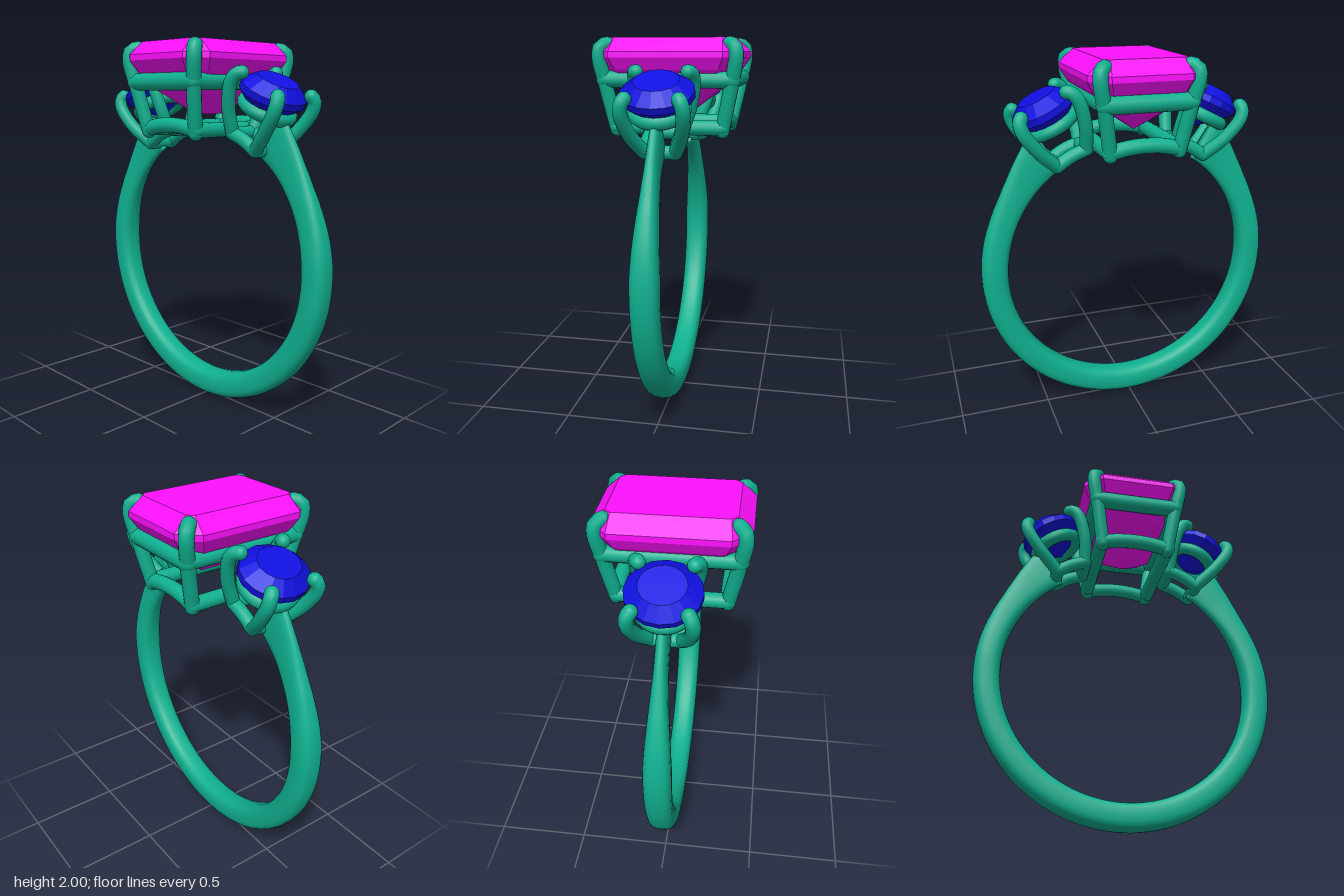
import * as THREE from 'three';

const CY = 0.835; // centre height of the finger hole
const TILT = 0.471; // lean of the side settings
const metal = new THREE.MeshStandardMaterial({ color: 0x10b090 });
const magenta = new THREE.MeshStandardMaterial({ color: 0xff10ff, flatShading: true });
const blue = new THREE.MeshStandardMaterial({ color: 0x1010e0, flatShading: true });
const V = (x, y, z) => new THREE.Vector3(x, y, z);

function add(parent, name, geometry, material = metal) {
  const mesh = new THREE.Mesh(geometry, material);
  mesh.name = name;
  parent.add(mesh);
  return mesh;
}

// Skin over rings of points (counter-clockwise about the travel direction), capped at both ends
function loft(rings) {
  const n = rings[0].length, last = (rings.length - 1) * n, index = [];
  for (let i = 0; i < rings.length - 1; i++) {
    for (let j = 0; j < n; j++) {
      const k = (j + 1) % n, a = i * n + j, b = i * n + k;
      index.push(a, b, b + n, a, b + n, a + n);
    }
  }
  for (let j = 1; j < n - 1; j++) index.push(0, j + 1, j, last, last + j, last + j + 1);
  const geo = new THREE.BufferGeometry().setFromPoints(rings.flat());
  geo.setIndex(index);
  geo.computeVertexNormals();
  return geo;
}

// Round wire through points, with ball ends
function wire(parent, name, points, radius) {
  const group = new THREE.Group();
  group.name = name;
  const curve = new THREE.CatmullRomCurve3(points);
  add(group, name + 'Wire', new THREE.TubeGeometry(curve, 20, radius, 14));
  for (const p of [points[0], points[points.length - 1]]) {
    add(group, name + 'End', new THREE.SphereGeometry(radius, 14, 10)).position.copy(p);
  }
  parent.add(group);
}

// Linear lookup in [angle, value] pairs
function lookup(table, a) {
  for (let i = 1; i < table.length; i++) {
    const [a0, v0] = table[i - 1], [a1, v1] = table[i];
    if (a <= a1) return THREE.MathUtils.lerp(v0, v1, (a - a0) / (a1 - a0));
  }
  return table[table.length - 1][1];
}

// Band: open at the top, shoulders grow taller and thinner towards the stones
function shank() {
  const outer = [[0, 0.835], [90, 0.83], [112, 0.83], [122, 0.838], [130, 0.86], [138, 0.897], [147, 0.95]];
  const half = [[0, 0.07], [95, 0.072], [105, 0.064], [120, 0.048], [133, 0.035], [147, 0.03]];
  const rings = [], power = (v) => Math.sign(v) * Math.abs(v) ** 0.75;
  for (let deg = -147; deg <= 147; deg += 3) {
    const a = THREE.MathUtils.degToRad(deg);
    const ro = lookup(outer, Math.abs(deg)), w = lookup(half, Math.abs(deg));
    const ring = [];
    for (let j = 0; j < 24; j++) {
      const t = (j / 24) * Math.PI * 2;
      const r = (ro + 0.686) / 2 + ((ro - 0.686) / 2) * power(Math.cos(t));
      ring.push(V(Math.sin(a) * r, CY - Math.cos(a) * r, -w * power(Math.sin(t))));
    }
    rings.push(ring);
  }
  return loft(rings);
}

// Rectangular cut stone with clipped corners: rows of [y, half x, half z, corner cut]
function centreStone() {
  const rows = [
    [1.62, 0.004, 0.1, 0.002], [1.74, 0.175, 0.255, 0.05], [1.84, 0.265, 0.345, 0.08],
    [1.9, 0.3, 0.385, 0.095], [1.93, 0.3, 0.385, 0.095], [2.0, 0.22, 0.31, 0.03],
  ];
  const geo = loft(rows.map(([y, x, z, c]) => [
    V(x, y, z - c), V(x, y, c - z), V(x - c, y, -z), V(c - x, y, -z),
    V(-x, y, c - z), V(-x, y, z - c), V(c - x, y, z), V(x - c, y, z),
  ]));
  return geo.toNonIndexed();
}

function centreSetting() {
  const group = new THREE.Group();
  group.name = 'centreSetting';
  add(group, 'centreStone', centreStone(), magenta);
  for (const s of [-1, 1]) {
    // Corner prongs curling over the stone
    for (const t of [-1, 1]) {
      wire(group, 'centreProng', [
        V(s * 0.185, 1.53, t * 0.28), V(s * 0.222, 1.75, t * 0.325),
        V(s * 0.252, 1.91, t * 0.352), V(s * 0.245, 1.955, t * 0.342), V(s * 0.22, 1.965, t * 0.315),
      ], 0.038);
    }
    // Upper gallery rail
    wire(group, 'upperLongRail', [V(s * 0.225, 1.79, -0.33), V(s * 0.225, 1.79, 0.33)], 0.043);
    wire(group, 'upperShortRail', [V(-0.225, 1.79, s * 0.33), V(0.225, 1.79, s * 0.33)], 0.046);
    // Lower rail, its short sides following the finger hole
    wire(group, 'lowerLongRail', [V(s * 0.19, 1.545, -0.28), V(s * 0.19, 1.545, 0.28)], 0.04);
    const arc = [-0.26, -0.13, 0, 0.13, 0.26].map((a) =>
      V(Math.sin(a) * 0.733, CY + Math.cos(a) * 0.733, s * 0.28));
    wire(group, 'lowerShortRail', arc, 0.04);
  }
  return group;
}

// Side setting built upright about the hole centre, then leaned outwards
function sideSetting(side) {
  const group = new THREE.Group();
  group.name = side > 0 ? 'leftSetting' : 'rightSetting';
  const profile = [[0, 0.85], [0.1, 0.92], [0.17, 0.99], [0.17, 1.025], [0.105, 1.08], [0, 1.08]]
    .map(([x, y]) => new THREE.Vector2(x, y));
  add(group, 'sideStone', new THREE.LatheGeometry(profile, 16), blue).scale.z = 1.09;
  const rail = new THREE.TorusGeometry(0.125, 0.036, 12, 40).rotateX(Math.PI / 2);
  add(group, 'sideUpperRail', rail).position.y = 0.92;
  for (const s of [-1, 1]) {
    for (const t of [-1, 1]) {
      wire(group, 'sideProng', [
        V(s * 0.09, 0.73, t * 0.08), V(s * 0.138, 0.86, t * 0.128),
        V(s * 0.16, 0.99, t * 0.15), V(s * 0.148, 1.04, t * 0.143), V(s * 0.13, 1.053, t * 0.13),
      ], 0.036);
    }
    // Lower rail between the prong feet
    wire(group, 'sideLowerRail', [V(-0.09, 0.73, s * 0.08), V(0, 0.738, s * 0.08), V(0.09, 0.73, s * 0.08)], 0.036);
    wire(group, 'sideLowerCrossRail', [V(s * 0.09, 0.73, -0.08), V(s * 0.09, 0.73, 0.08)], 0.036);
  }
  group.position.y = CY;
  group.rotation.z = -side * TILT;
  return group;
}

export function createModel() {
  const ring = new THREE.Group();
  ring.name = 'threeStoneRing';
  add(ring, 'band', shank());
  ring.add(centreSetting(), sideSetting(1), sideSetting(-1));
  return ring;
}
